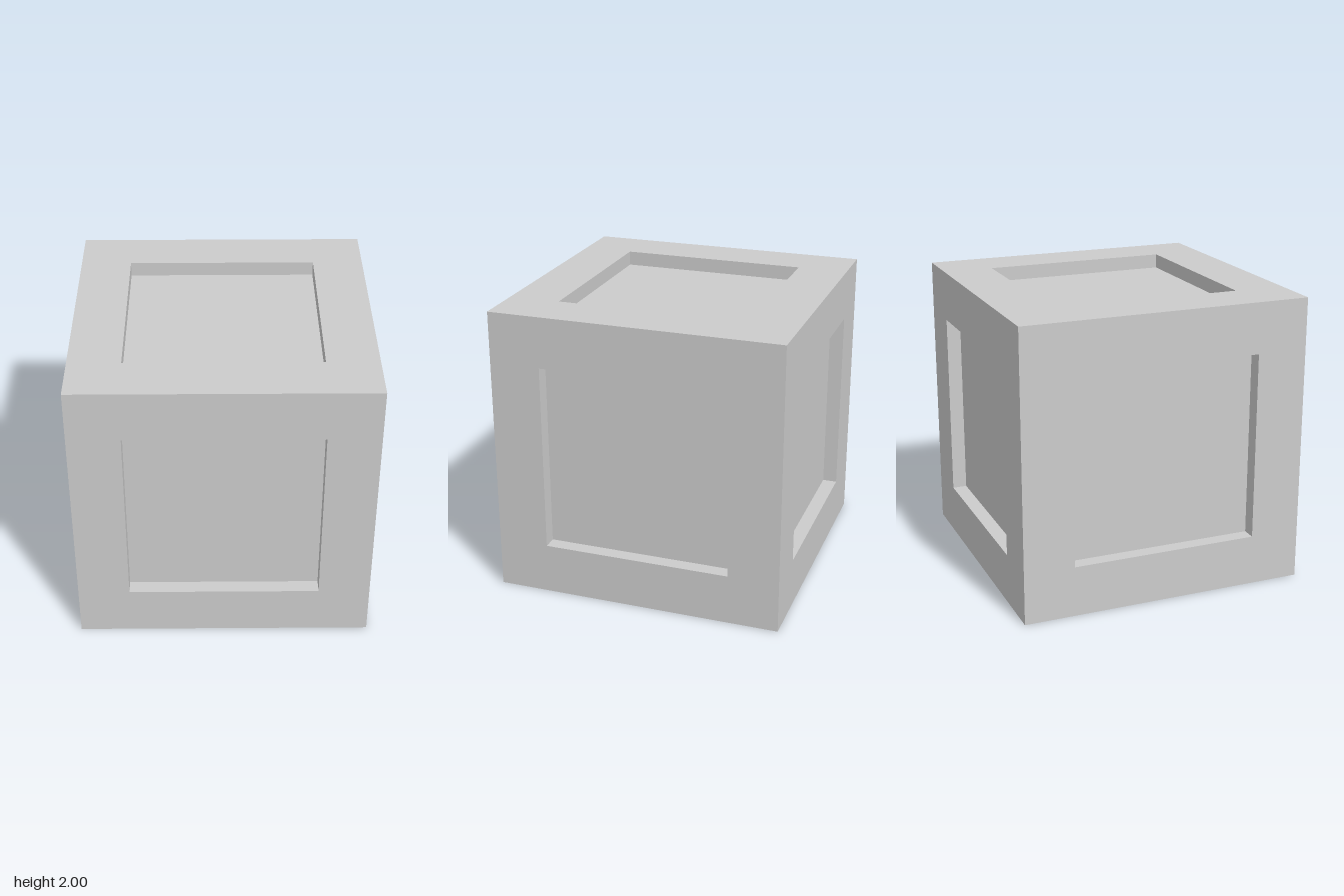
import * as THREE from 'three';
import { mergeGeometries } from 'three/addons/utils/BufferGeometryUtils.js';

const HALF = 1;        // half the cube's edge
const OPENING = 0.65;  // half the width of each square recess
const DEPTH = 0.1;     // depth of each recess

function square(half, PathType) {
  return new PathType([
    new THREE.Vector2(-half, -half), new THREE.Vector2(half, -half),
    new THREE.Vector2(half, half), new THREE.Vector2(-half, half),
  ]);
}

export function createModel() {
  const material = new THREE.MeshStandardMaterial({ color: 0xcccccc, flatShading: true });

  // Flat border around the square opening
  const outline = square(HALF, THREE.Shape);
  outline.holes.push(square(OPENING, THREE.Path));
  const borderGeometry = new THREE.ShapeGeometry(outline).translate(0, 0, HALF);

  // Sunken floor of the recess
  const panelGeometry = new THREE.PlaneGeometry(2 * OPENING, 2 * OPENING)
    .translate(0, 0, HALF - DEPTH);

  // Four walls facing into the recess
  const walls = [];
  for (let i = 0; i < 4; i++) {
    walls.push(new THREE.PlaneGeometry(2 * OPENING, DEPTH)
      .rotateX(Math.PI / 2)
      .translate(0, OPENING, HALF - DEPTH / 2)
      .rotateZ(i * Math.PI / 2));
  }
  const wallGeometry = mergeGeometries(walls);

  // The same recessed side, turned to all six directions
  const q = Math.PI / 2;
  const sides = {
    front: [0, 0], left: [0, q], back: [0, 2 * q], right: [0, -q],
    top: [-q, 0], bottom: [q, 0],
  };
  const model = new THREE.Group();
  model.name = 'recessedCube';
  for (const [name, [rx, ry]] of Object.entries(sides)) {
    const side = new THREE.Group();
    side.name = name + 'Side';
    const parts = { Border: borderGeometry, RecessWalls: wallGeometry, RecessPanel: panelGeometry };
    for (const [part, geometry] of Object.entries(parts)) {
      const mesh = new THREE.Mesh(geometry, material);
      mesh.name = name + part;
      side.add(mesh);
    }
    side.rotation.set(rx, ry, 0);
    side.position.y = HALF;
    model.add(side);
  }
  return model;
}
